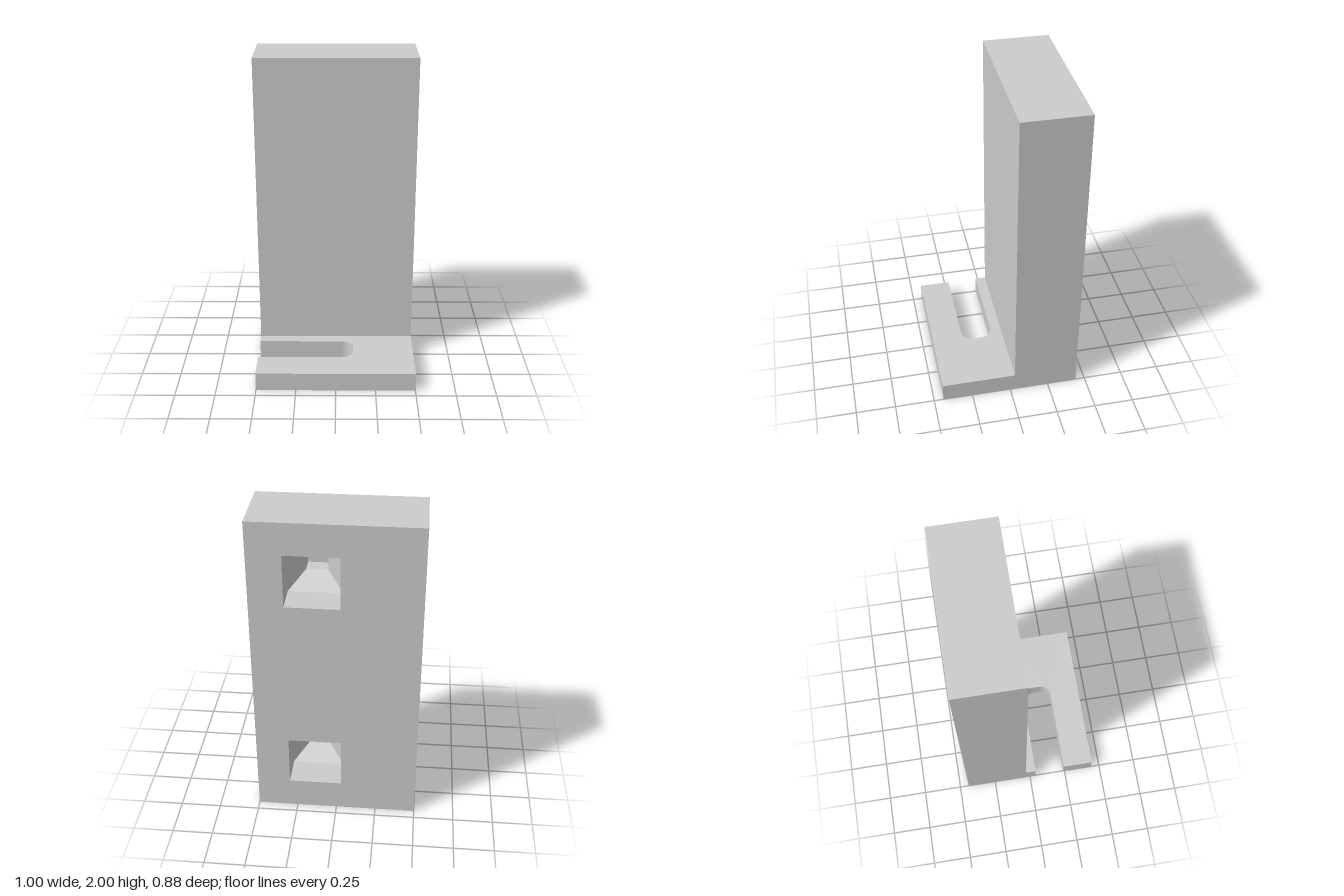
import * as THREE from 'three';

const BACK = -0.44, WALL_FRONT = -0.03, FRONT = 0.44, SKIN = 0.02;
const SOCKET_X = 0.133, SOCKET_HALF = 0.163, SOCKET_YS = [0.36, 1.64];

const material = new THREE.MeshStandardMaterial({ color: 0xcccccc, flatShading: true });
const liningMaterial = new THREE.MeshStandardMaterial({
  color: 0xcccccc, flatShading: true, side: THREE.DoubleSide,
});

function polygon(points, Type = THREE.Shape) {
  return new Type(points.map(([x, y]) => new THREE.Vector2(x, y)));
}

export function createModel() {
  const model = new THREE.Group();
  const add = (name, geometry, mat = material) => {
    const mesh = new THREE.Mesh(geometry, mat);
    mesh.name = name;
    model.add(mesh);
    return mesh;
  };

  // Upright block, pierced by the two square sockets from the back
  const wall = polygon([[-0.5, 0], [0.5, 0], [0.5, 2], [-0.5, 2]]);
  for (const y of SOCKET_YS) {
    const l = SOCKET_X - SOCKET_HALF, r = SOCKET_X + SOCKET_HALF;
    const b = y - SOCKET_HALF, t = y + SOCKET_HALF;
    wall.holes.push(polygon([[l, b], [l, t], [r, t], [r, b]], THREE.Path));
  }
  const depth = WALL_FRONT - SKIN - BACK;
  add('uprightBlock', new THREE.ExtrudeGeometry(wall, { depth, bevelEnabled: false }))
    .position.z = BACK;

  // Solid front skin closing the sockets
  add('frontSkin', new THREE.BoxGeometry(1, 2, SKIN))
    .position.set(0, 1, WALL_FRONT - SKIN / 2);

  // Tapered inner end of each socket, finishing in a small square pit
  const profile = [[SOCKET_HALF, 0.19], [0.065, 0.29], [0.065, 0.38], [0, 0.38]]
    .map(([half, d]) => new THREE.Vector2(half * Math.SQRT2, d));
  for (const y of SOCKET_YS) {
    const lining = new THREE.LatheGeometry(profile, 4, Math.PI / 4);
    lining.rotateX(Math.PI / 2);
    add('socketTaper', lining, liningMaterial).position.set(SOCKET_X, y, BACK);
  }

  // Foot plate with a round-cornered slot open on the right
  const foot = new THREE.Shape();
  const z0 = 0.04, z1 = 0.24, end = 0.112, r = 0.075;
  foot.moveTo(-0.5, WALL_FRONT);
  foot.lineTo(0.5, WALL_FRONT);
  foot.lineTo(0.5, FRONT);
  foot.lineTo(-0.5, FRONT);
  foot.lineTo(-0.5, z1);
  foot.absarc(end - r, z1 - r, r, Math.PI / 2, 0, true);
  foot.absarc(end - r, z0 + r, r, 0, -Math.PI / 2, true);
  foot.lineTo(-0.5, z0);
  foot.closePath();
  const footGeometry = new THREE.ExtrudeGeometry(foot, {
    depth: 0.12, bevelEnabled: false, curveSegments: 10,
  });
  footGeometry.rotateX(Math.PI / 2);
  add('footPlate', footGeometry).position.y = 0.12;

  return model;
}
